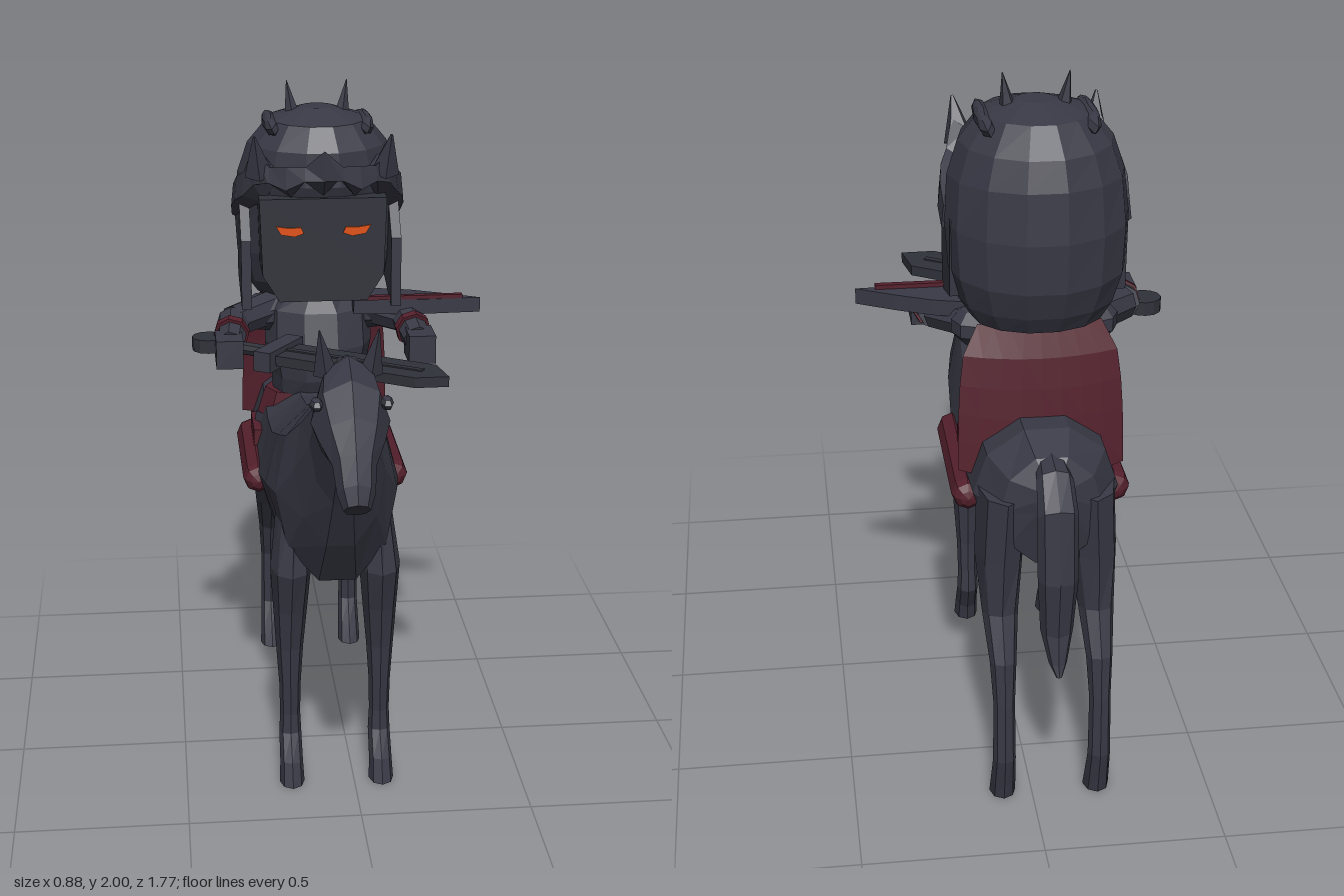
import * as THREE from 'three';

const V = (x, y, z) => new THREE.Vector3(x, y, z);
const material = (name, color) => {
  const m = new THREE.MeshStandardMaterial({ color });
  m.name = name;
  return m;
};

// Skin through rings of points, capped at both ends
function skin(rings) {
  const n = rings[0].length, pos = [], idx = [];
  rings.forEach(r => r.forEach(p => pos.push(p.x, p.y, p.z)));
  for (let i = 0; i < rings.length - 1; i++) for (let j = 0; j < n; j++) {
    const a = i * n + j, b = i * n + (j + 1) % n;
    idx.push(a, b, b + n, a, b + n, a + n);
  }
  const last = (rings.length - 1) * n;
  for (let j = 1; j < n - 1; j++) idx.push(0, j + 1, j, last, last + j, last + j + 1);
  const g = new THREE.BufferGeometry();
  g.setAttribute('position', new THREE.Float32BufferAttribute(pos, 3));
  g.setIndex(idx);
  return g;
}

// Oval cross-sections: [zA, yA, zB, yB, halfWidth, xCentre]
function loft(sections, sides = 10) {
  return skin(sections.map(([za, ya, zb, yb, w, xc = 0]) =>
    Array.from({ length: sides }, (_, j) => {
      const a = j / sides * Math.PI * 2, s = Math.sin(a) / 2;
      return V(xc + w * Math.cos(a), (ya + yb) / 2 + s * (ya - yb), (za + zb) / 2 + s * (za - zb));
    })));
}

// Tapered rod between two points
function rod(a, b, ra, rb, sides = 8) {
  const d = b.clone().sub(a);
  const g = new THREE.CylinderGeometry(rb, ra, d.length(), sides);
  g.applyQuaternion(new THREE.Quaternion().setFromUnitVectors(V(0, 1, 0), d.clone().normalize()));
  return g.translate((a.x + b.x) / 2, (a.y + b.y) / 2, (a.z + b.z) / 2);
}

const plate = (points, depth) => new THREE.ExtrudeGeometry(
  new THREE.Shape(points.map(p => new THREE.Vector2(...p))), { depth, bevelEnabled: false });
// Plate lying flat, outline given in x and z
const flatPlate = (points, depth) => plate(points, depth).rotateX(Math.PI / 2);
const box = (w, h, d, x, y, z) => new THREE.BoxGeometry(w, h, d).translate(x, y, z);

export function createModel() {
  const armour = material('charcoal', 0x383945);
  const steel = material('dark steel', 0x30323a);
  const cloth = material('dark red cloth', 0x54202c);
  const glow = material('glowing orange', 0xe05010);
  const model = new THREE.Group();
  const figure = new THREE.Group();
  figure.name = 'horseAndRider';
  figure.position.x = -0.052;
  model.add(figure);

  const add = (name, geo, mat, parent = figure) => {
    const g = geo.index ? geo.toNonIndexed() : geo;
    g.computeVertexNormals();
    const mesh = new THREE.Mesh(g, mat);
    mesh.name = name;
    parent.add(mesh);
    return mesh;
  };

  // Horse trunk and neck
  add('horseBody', loft([
    [-.745, .99, -.74, .88, .05], [-.70, 1.05, -.70, .72, .14], [-.6, 1.09, -.58, .7, .2],
    [-.4, 1.08, -.44, .7, .205], [-.2, 1.07, -.2, .66, .205], [0, 1.11, -.05, .64, .205],
    [.14, 1.16, .15, .66, .195], [.25, 1.21, .31, .65, .175], [.32, 1.25, .41, .8, .13],
    [.42, 1.31, .49, .96, .09], [.52, 1.38, .57, 1.1, .072], [.59, 1.43, .61, 1.17, .07]]), armour);
  add('horseHead', loft([
    [.56, 1.42, .59, 1.18, .055], [.63, 1.44, .60, 1.15, .09], [.72, 1.40, .65, 1.15, .105],
    [.785, 1.32, .70, 1.155, .085], [.835, 1.24, .755, 1.15, .058], [.875, 1.17, .80, 1.09, .05],
    [.892, 1.12, .83, 1.07, .036]], 8), armour);
  add('tail', loft([
    [-.66, .98, -.67, 1.05, .04], [-.75, .97, -.77, 1.04, .05], [-.79, .90, -.855, .96, .055],
    [-.79, .75, -.878, .75, .055], [-.78, .6, -.855, .58, .045], [-.82, .5, -.868, .5, .025],
    [-.866, .468, -.876, .468, .008]], 8), armour);

  // Horse legs and ears, mirrored
  const foreLeg = [
    [.28, .92, .06, .92, .04, .12], [.33, .68, .15, .69, .06, .13], [.29, .55, .165, .55, .05, .132],
    [.262, .42, .175, .42, .04], [.25, .3, .185, .3, .032], [.24, .2, .182, .2, .03],
    [.245, .14, .175, .13, .033], [.3, .07, .215, .05, .034], [.328, 0, .225, 0, .037]];
  const hindLeg = [
    [-.45, .92, -.73, .92, .07, .12], [-.465, .71, -.72, .73, .068, .13], [-.6, .55, -.712, .57, .05],
    [-.685, .43, -.77, .45, .037], [-.725, .32, -.78, .32, .03], [-.73, .14, -.785, .14, .032],
    [-.69, .06, -.765, .05, .035], [-.66, 0, -.755, 0, .037]];
  for (const s of [1, -1]) {
    const side = s > 0 ? 'left' : 'right';
    const placed = sections => sections.map(q => [...q.slice(0, 5), s * (q[5] ?? .134)]);
    add(side + 'ForeLeg', loft(placed(foreLeg), 8), armour);
    add(side + 'HindLeg', loft(placed(hindLeg), 8), armour);
    add(side + 'Ear', rod(V(s * .06, 1.39, .61), V(s * .078, 1.515, .65), .034, .002, 5), armour);
    add(side + 'HorseBrow', new THREE.SphereGeometry(.03, 6, 4).scale(.6, .6, 1.2)
      .translate(s * .092, 1.335, .715), armour);
  }

  // Rider's torso, belt and seat
  add('torso', loft([
    [-.25, 1.37, -.45, 1.37, .09], [-.22, 1.31, -.48, 1.31, .16], [-.19, 1.2, -.48, 1.2, .165],
    [-.2, 1.1, -.47, 1.1, .145], [-.23, 1.03, -.45, 1.03, .14]]), armour);
  add('waistSash', loft([[-.23, 1.05, -.45, 1.05, .165], [-.225, .97, -.45, .97, .19]]), cloth);
  add('belt', loft([[-.24, .97, -.44, .97, .195], [-.24, .93, -.44, .93, .2]]), armour);
  add('seatCloth', box(.415, .05, .18, 0, .915, -.33), cloth);
  for (const s of [1, -1]) {
    add(s > 0 ? 'leftLegRoll' : 'rightLegRoll', new THREE.CapsuleGeometry(.045, .415, 3, 8)
      .rotateX(Math.PI / 2).translate(s * .205, .845, -.285), cloth);
  }

  // Cape hanging behind the back
  const cape = new THREE.PlaneGeometry(2, 1, 8, 5);
  const p = cape.attributes.position;
  for (let i = 0; i < p.count; i++) {
    const u = p.getX(i), v = .5 - p.getY(i);
    p.setXYZ(i, u * (.17 + .12 * Math.sqrt(v) - .06 * v), 1.33 - .44 * v + .03 * u * u * v,
      -.475 - .055 * Math.sqrt(v) + .03 * u * u);
  }
  cloth.side = THREE.DoubleSide;
  add('cape', cape, cloth);

  // Helmet shell
  add('helmet', loft([
    [-.29, 1.925, -.39, 1.925, .05], [-.17, 1.89, -.5, 1.895, .15], [-.125, 1.82, -.565, 1.82, .21],
    [-.12, 1.72, -.59, 1.74, .24], [-.16, 1.62, -.6, 1.6, .25], [-.19, 1.5, -.59, 1.46, .242],
    [-.23, 1.4, -.56, 1.38, .215], [-.29, 1.35, -.53, 1.33, .18], [-.33, 1.31, -.48, 1.31, .12]], 14), armour);

  // Peaked brim wrapping the face opening
  const brim = [];
  for (let i = 0; i <= 16; i++) {
    const t = (i / 8 - 1) * 1.75, c = Math.cos(t), f = Math.abs(i - 8) / 8;
    const peak = i % 4 === 0 && f < 1 ? .05 : 0;
    const low = 1.7 - .13 * f * f + (i % 2 && f < .5 ? .05 : 0);
    const high = 1.79 - .14 * f ** 3 + peak;
    const at = (r, y) => V(Math.sin(t) * r, y, -.335 + c * r);
    brim.push([at(.215, high - .02), at(.255 + peak * .3, high), at(.262, (low + high) / 2 - .02), at(.222, low)]);
  }
  add('peakedBrim', skin(brim), armour);
  for (const s of [1, -1]) {
    add('helmetHorn', rod(V(s * .07, 1.87, -.34), V(s * .09, 2, -.35), .03, .001, 5), armour);
    add('brimHorn', rod(V(s * .185, 1.76, -.17), V(s * .2, 1.875, -.12), .045, .004, 5), armour);
    add('crownRidge', new THREE.SphereGeometry(1, 8, 5).scale(.025, .03, .16)
      .rotateZ(-s * .5).translate(s * .14, 1.875, -.34), armour);
    add('cheekGuard', plate([[-.12, 1.34], [.1, 1.4], [.12, 1.62], [-.02, 1.66], [-.12, 1.55]], .03)
      .rotateY(Math.PI / 2).translate(s * .225 - .015, 0, -.31), armour);
  }

  // Face plate with eyes
  add('facePlate', plate([[-.13, 1.38], [.13, 1.38], [.18, 1.46], [.188, 1.69], [-.188, 1.69], [-.18, 1.46]], .18)
    .translate(0, 0, -.3), steel);
  for (const s of [1, -1]) {
    const eye = [[.058, 1.588], [.085, 1.578], [.125, 1.585], [.14, 1.61], [.1, 1.604], [.066, 1.606]];
    add('eye', plate(s > 0 ? eye : eye.map(([x, y]) => [-x, y]).reverse(), .006).translate(0, 0, -.121), glow);
  }

  // Arms
  for (const s of [1, -1]) {
    const side = s > 0 ? 'left' : 'right';
    const elbow = V(s * .265, 1.29, -.24), wrist = V(s * .28, 1.26, -.1);
    add(side + 'Shoulder', new THREE.SphereGeometry(.075, 8, 5).scale(1, .8, 1).translate(s * .16, 1.29, -.35), armour);
    add(side + 'UpperArm', rod(V(s * .14, 1.3, -.36), elbow, .055, .05), armour);
    add(side + 'Forearm', rod(elbow, wrist, .05, .042), armour);
    add(side + 'Cuff', rod(V(s * .272, 1.278, -.18), V(s * .275, 1.273, -.155), .054, .054), cloth);
    add(side + 'Hand', box(.08, .085, .12, s * .285, 1.25, -.08), armour);
  }

  // Sword held across the horse's neck
  const sword = new THREE.Group();
  sword.name = 'sword';
  sword.position.set(-.1, 1.25, 0);
  sword.rotation.y = -.58;
  figure.add(sword);
  add('blade', flatPlate([[-.02, -.07], [.43, -.07], [.51, .015], [.43, .07], [-.02, .07]], .03)
    .translate(0, .015, 0), steel, sword);
  add('bladeRidge', box(.44, .038, .02, .2, 0, 0), steel, sword);
  add('guard', box(.055, .06, .2, -.05, 0, 0), armour, sword);
  add('grip', rod(V(-.28, 0, 0), V(-.04, 0, 0), .02, .02), steel, sword);
  add('pommel', new THREE.CylinderGeometry(.05, .05, .04, 12).translate(-.29, 0, 0), steel, sword);

  // Leaf-shaped side blade with red edging
  const leaf = [[.1, -.37], [.28, -.32], [.38, -.27], [.485, -.21], [.3, -.2], [.1, -.22]];
  add('sideBlade', flatPlate(leaf, .045).translate(0, 1.355, 0), armour);
  add('sideBladeEdge', box(.32, .012, .02, .27, 1.361, -.215), cloth);

  return model;
}
